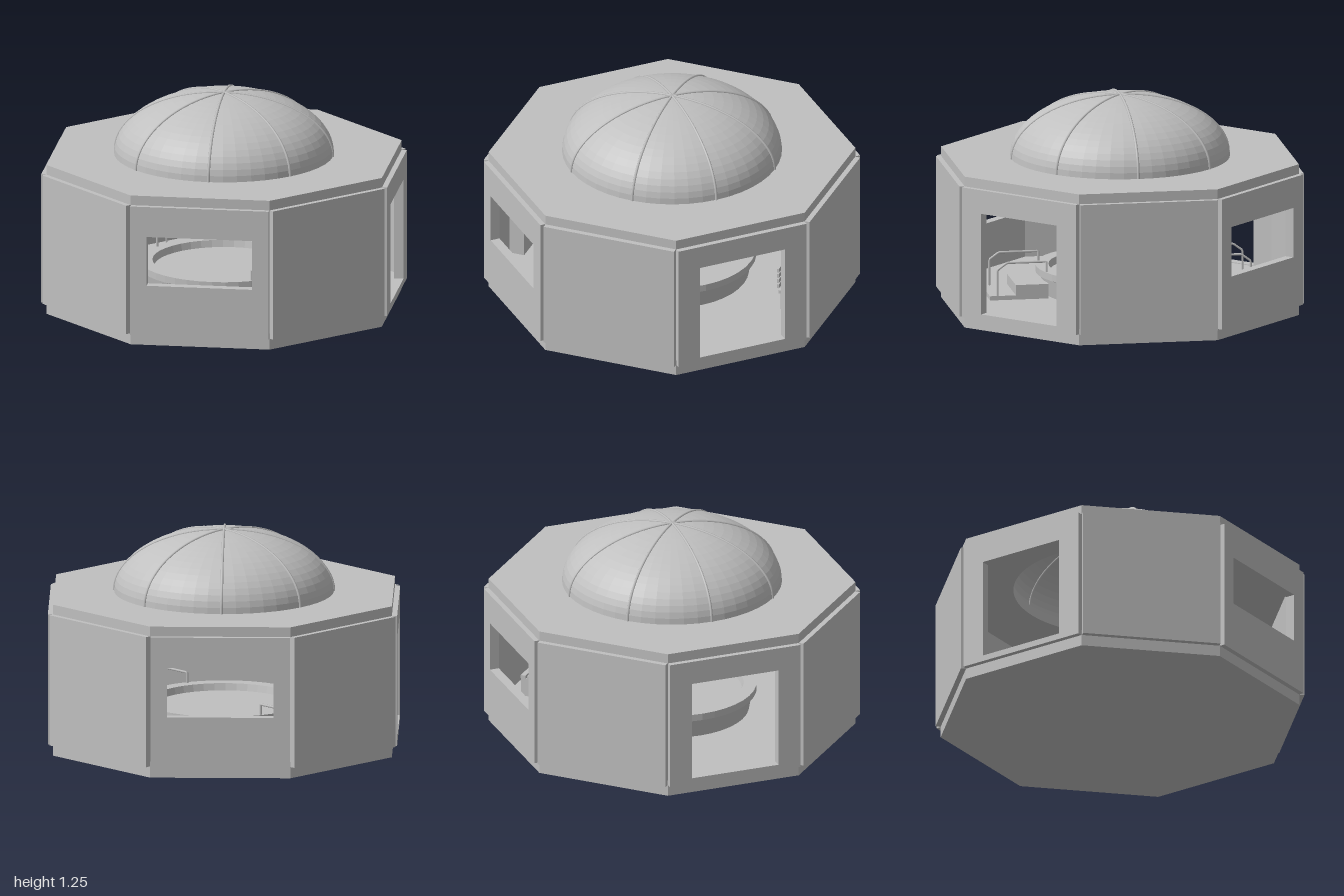
import * as THREE from 'three';

export function createModel() {
  const model = new THREE.Group();
  const plaster = new THREE.MeshStandardMaterial({ color: 0xc0c0c0 });
  const shell = new THREE.MeshStandardMaterial({ color: 0xc0c0c0, side: THREE.DoubleSide });

  const add = (name, geometry, parent = model, material = plaster) => {
    const mesh = new THREE.Mesh(geometry, material);
    mesh.name = name;
    parent.add(mesh);
    return mesh;
  };
  const box = (name, w, h, d, x, y, z, parent) => {
    const mesh = add(name, new THREE.BoxGeometry(w, h, d), parent);
    mesh.position.set(x, y, z);
    return mesh;
  };
  const rectangle = (x0, y0, x1, y1, Type) => new Type([
    new THREE.Vector2(x0, y0), new THREE.Vector2(x1, y0),
    new THREE.Vector2(x1, y1), new THREE.Vector2(x0, y1),
  ]);
  const flat = (geometry) => {
    const g = geometry.toNonIndexed();
    g.computeVertexNormals();
    return g;
  };

  // Octagonal floor slab
  const corner = 0.97 / Math.cos(Math.PI / 8);
  const slab = new THREE.CylinderGeometry(corner, corner, 0.095, 8);
  slab.rotateY(Math.PI / 8).translate(0, 0.0475, 0);
  add('floorSlab', flat(slab));

  // Octagonal roof with a round opening under the dome
  const roofShape = new THREE.Shape();
  for (let i = 0; i < 8; i++) {
    const a = (i + 0.5) * Math.PI / 4;
    roofShape[i ? 'lineTo' : 'moveTo'](corner * Math.cos(a), corner * Math.sin(a));
  }
  roofShape.closePath();
  roofShape.holes.push(new THREE.Path().absarc(0, 0, 0.61, 0, Math.PI * 2, true));
  const roof = new THREE.ExtrudeGeometry(roofShape, { depth: 0.057, bevelEnabled: false, curveSegments: 48 });
  roof.rotateX(-Math.PI / 2).translate(0, 0.828, 0);
  add('roof', roof);

  // Wall panels: windows and doorways alternate on the diagonal sides
  const windowHole = [-0.305, 0.36, 0.305, 0.65];
  const doorHole = [-0.265, 0.1, 0.265, 0.69];
  for (let i = 0; i < 8; i++) {
    const shape = rectangle(-0.4, 0.065, 0.4, 0.828, THREE.Shape);
    const hole = i % 2 === 0 ? null : i % 4 === 1 ? windowHole : doorHole;
    if (hole) shape.holes.push(rectangle(...hole, THREE.Path));
    const panel = new THREE.ExtrudeGeometry(shape, { depth: 0.055, bevelEnabled: false });
    panel.translate(0, 0, 0.945).rotateY(i * Math.PI / 4);
    add(!hole ? 'wall' : hole === windowHole ? 'windowWall' : 'doorWall', panel);
  }

  // Faceted dome
  const domeRadius = 0.63, domeHeight = 0.357, domeBase = 0.885;
  const dome = new THREE.SphereGeometry(1, 48, 16, 0, Math.PI * 2, 0, Math.PI / 2);
  dome.scale(domeRadius, domeHeight, domeRadius).translate(0, domeBase, 0);
  add('dome', flat(dome), model, shell);

  // Four arched ribs crossing at the top of the dome
  for (let i = 0; i < 4; i++) {
    const points = [];
    for (let j = 0; j <= 24; j++) {
      const a = j / 24 * Math.PI;
      points.push(new THREE.Vector3(domeRadius * Math.cos(a), domeBase + domeHeight * Math.sin(a), 0));
    }
    const rib = new THREE.TubeGeometry(new THREE.CatmullRomCurve3(points), 48, 0.008, 6);
    add('domeRib', rib.rotateY(i * Math.PI / 4));
  }

  // Round tub with a raised lip and a water surface
  const tubProfile = [
    [0.44, 0.09], [0.46, 0.2], [0.485, 0.21], [0.485, 0.25],
    [0.41, 0.25], [0.4, 0.21], [0, 0.21],
  ].map(([x, y]) => new THREE.Vector2(x, y));
  add('tub', flat(new THREE.LatheGeometry(tubProfile, 40)), model, shell);

  // Steps and handrails on both sides of the tub
  for (const side of [-1, 1]) {
    const access = new THREE.Group();
    access.name = 'tubAccess';
    model.add(access);
    box('lowerStep', 0.15, 0.03, 0.3, side * 0.705, 0.105, 0, access);
    box('upperStep', 0.19, 0.09, 0.3, side * 0.535, 0.135, 0, access);
    for (const z of [-0.14, 0.14]) {
      const path = new THREE.CurvePath();
      const p = [[0.735, 0.1], [0.735, 0.27], [0.68, 0.31], [0.45, 0.31], [0.45, 0.24]]
        .map(([x, y]) => new THREE.Vector3(side * x, y, z));
      for (let i = 1; i < p.length; i++) path.add(new THREE.LineCurve3(p[i - 1], p[i]));
      add('handrail', new THREE.TubeGeometry(path, 40, 0.007, 6), access);
    }
  }

  // Slatted bench near the back wall
  const bench = new THREE.Group();
  bench.name = 'bench';
  model.add(bench);
  box('benchBase', 0.4, 0.11, 0.11, 0, 0.15, -0.8, bench);
  for (let i = 0; i < 3; i++) box('seatSlat', 0.44, 0.02, 0.03, 0, 0.22, -0.755 - i * 0.04, bench);
  for (let i = 0; i < 4; i++) box('backSlat', 0.44, 0.025, 0.012, 0, 0.255 + i * 0.034, -0.735, bench);
  for (const x of [-0.17, 0.17]) box('backPost', 0.02, 0.16, 0.01, x, 0.29, -0.742, bench);

  // Narrow cabinet on the inside of the front wall
  box('cabinet', 0.3, 0.37, 0.09, 0, 0.275, 0.895);

  return model;
}
